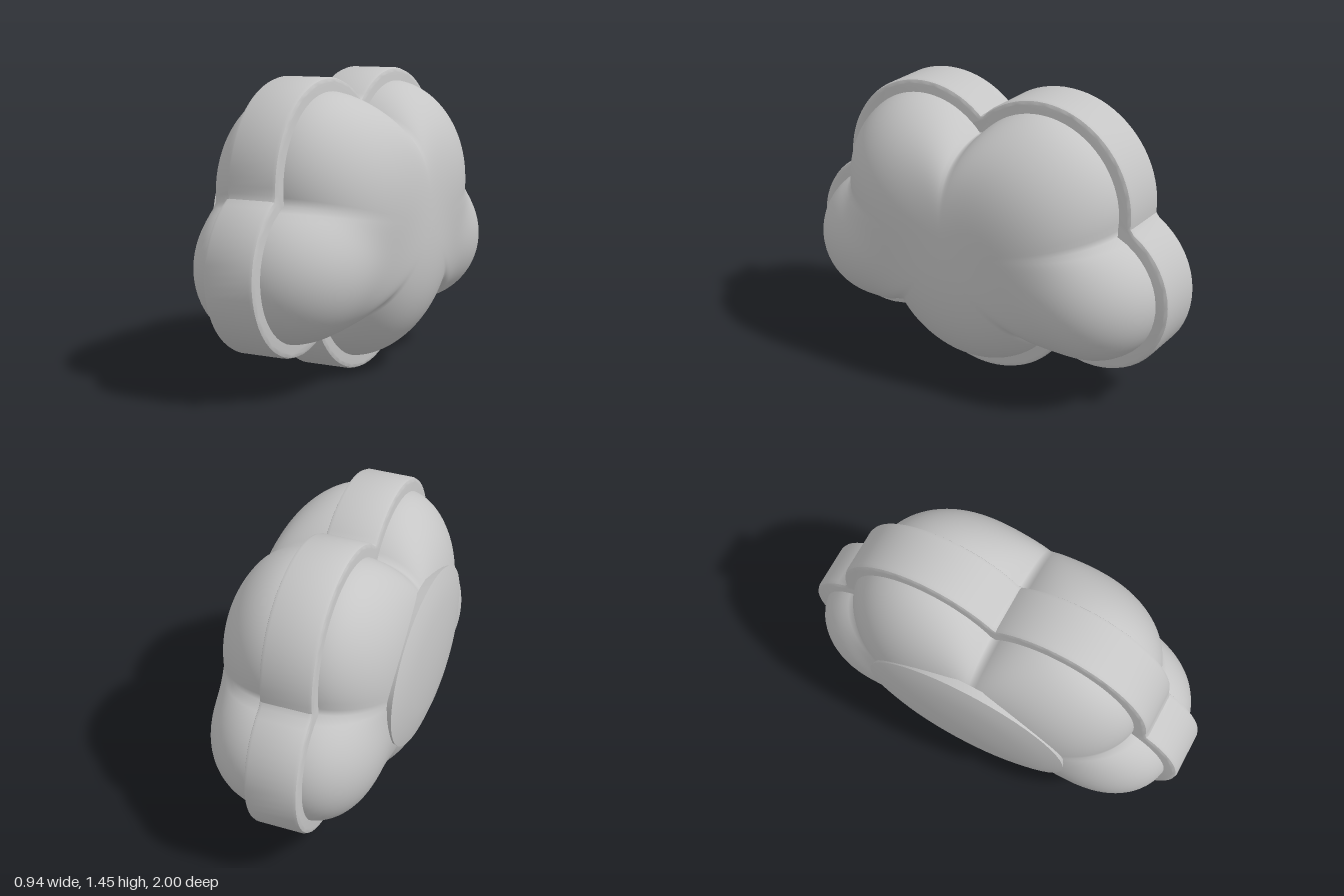
import * as THREE from 'three';
import { toCreasedNormals } from 'three/addons/utils/BufferGeometryUtils.js';

// Cloud lobes in the side plane: centre z, centre y, radius, puff height factor
const LOBES = [
  [0.33, 0.95, 0.415, 0.82],
  [-0.32, 0.97, 0.415, 0.82],
  [0.605, 0.572, 0.335, 0.82],
  [-0.605, 0.572, 0.335, 0.82],
  [0, 0.495, 0.432, 0.82],
];
const CENTRE_Y = 0.72;
const RAYS = 144;
const RINGS = 32;

// Distance from the cloud's middle to its scalloped outline along an angle
function outlineRadius(angle, grow) {
  const dz = Math.cos(angle), dy = Math.sin(angle);
  let far = 0;
  for (const [z, y, r] of LOBES) {
    const b = z * dz + (y - CENTRE_Y) * dy;
    const c = z * z + (y - CENTRE_Y) ** 2 - (r + grow) ** 2;
    if (b * b >= c) far = Math.max(far, b + Math.sqrt(b * b - c));
  }
  return far;
}

// Soft maximum of the lobe domes and one broad dome that drops off near the outline (t = 1)
function puff(z, y, t) {
  const power = 8;
  const broad = Math.sqrt(1 - (z / 1.05) ** 2 - ((y - 0.75) / 0.77) ** 2);
  let sum = (0.97 * broad * Math.sqrt(1 - t ** 6)) ** power;
  for (const [cz, cy, r, h] of LOBES) {
    const d2 = ((z - cz) ** 2 + (y - cy) ** 2) / (r * r);
    if (d2 < 1) sum += (h * Math.sqrt(1 - d2)) ** power;
  }
  return sum ** (1 / power);
}

// One inflated half of the cloud, rising from x = base towards the given side
function puffGeometry(side, base, height) {
  const positions = [], index = [];
  for (let i = 0; i <= RINGS; i++) {
    const t = Math.sin((i / RINGS) * Math.PI / 2);
    for (let j = 0; j < RAYS; j++) {
      const a = (j / RAYS) * Math.PI * 2;
      const r = outlineRadius(a, 0) * t;
      const z = Math.cos(a) * r, y = CENTRE_Y + Math.sin(a) * r;
      const h = i === RINGS ? 0 : puff(z, y, t) * height;
      positions.push(side * (base + h), y, z);
      if (i === RINGS) continue;
      const k = (j + 1) % RAYS;
      const p = i * RAYS + j, q = i * RAYS + k, u = p + RAYS, v = q + RAYS;
      if (side > 0) index.push(p, v, u, p, q, v);
      else index.push(p, u, v, p, v, q);
    }
  }
  const g = new THREE.BufferGeometry();
  g.setAttribute('position', new THREE.Float32BufferAttribute(positions, 3));
  g.setIndex(index);
  g.computeVertexNormals();
  return g;
}

// Raised band following the outline
function bandGeometry() {
  const points = [];
  for (let j = 0; j < RAYS; j++) {
    const a = (j / RAYS) * Math.PI * 2;
    const r = outlineRadius(a, 0.042);
    points.push(new THREE.Vector2(-Math.cos(a) * r, CENTRE_Y + Math.sin(a) * r));
  }
  const g = new THREE.ExtrudeGeometry(new THREE.Shape(points), {
    depth: 0.216, bevelEnabled: true, bevelSize: 0.02, bevelThickness: 0.02, bevelSegments: 2,
  });
  g.rotateY(Math.PI / 2).translate(-0.138, 0, 0);
  return toCreasedNormals(g, 0.6);
}

// Shallow oval cap on one cheek
function capGeometry() {
  const profile = [[0.97, 0.38], [1, 0.425], [0.85, 0.445], [0.6, 0.462], [0.3, 0.472], [0, 0.475]]
    .map(([r, h]) => new THREE.Vector2(r, h));
  const g = new THREE.LatheGeometry(profile, 48);
  g.rotateZ(Math.PI / 2).scale(1, 0.395, 0.52).translate(0, 0.76, 0);
  return toCreasedNormals(g, 0.7);
}

export function createModel() {
  const grey = new THREE.MeshStandardMaterial({ color: 0xc6c6c6 });
  grey.name = 'grey';
  const model = new THREE.Group();
  model.name = 'cloud';
  const add = (name, geometry) => {
    const mesh = new THREE.Mesh(geometry, grey);
    mesh.name = name;
    model.add(mesh);
  };
  add('leftPuff', puffGeometry(1, 0.06, 0.415));
  add('rightPuff', puffGeometry(-1, 0.12, 0.335));
  add('band', bandGeometry());
  add('cheekCap', capGeometry());
  return model;
}
